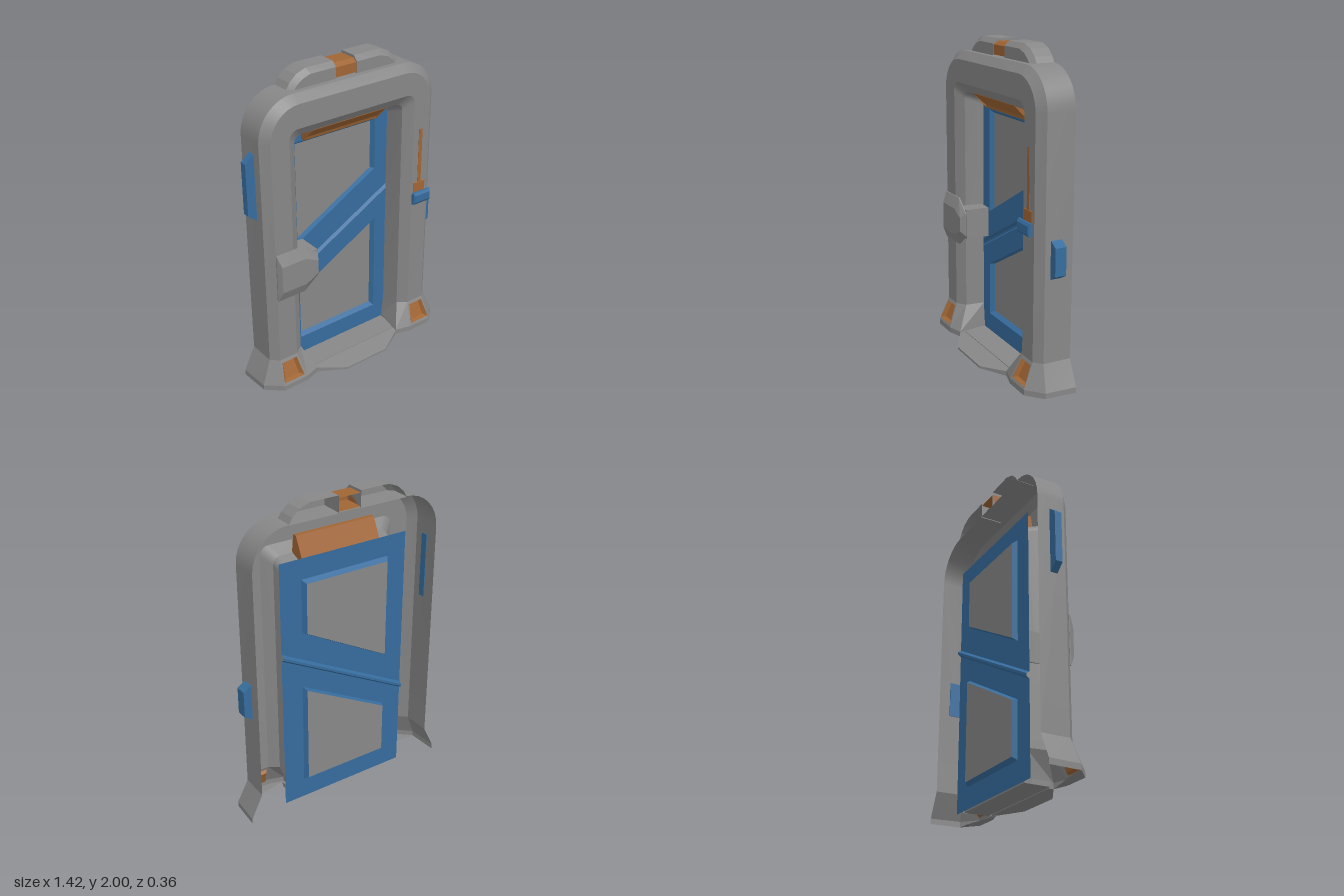
import * as THREE from 'three';
import { toCreasedNormals } from 'three/addons/utils/BufferGeometryUtils.js';

const material = (name, color) => {
  const m = new THREE.MeshStandardMaterial({ color, side: THREE.DoubleSide });
  m.name = name;
  return m;
};

// Skin a list of rings (each a list of [x, y, z]); optional fan caps at start and end.
function loft(rings, { closed = true, startCap = closed, endCap = closed, skip = () => false } = {}) {
  const out = [];
  const n = rings[0].length;
  for (let i = 0; i < rings.length - 1; i++) {
    for (let j = 0; j < (closed ? n : n - 1); j++) {
      if (skip(i, j)) continue;
      const k = (j + 1) % n;
      const a = rings[i][j], b = rings[i][k], c = rings[i + 1][k], d = rings[i + 1][j];
      out.push(...a, ...b, ...d, ...b, ...c, ...d);
    }
  }
  const first = rings[0], last = rings[rings.length - 1];
  for (let j = 1; j < n - 1; j++) {
    if (startCap) out.push(...first[0], ...first[j + 1], ...first[j]);
    if (endCap) out.push(...last[0], ...last[j], ...last[j + 1]);
  }
  const g = new THREE.BufferGeometry();
  g.setAttribute('position', new THREE.Float32BufferAttribute(out, 3));
  return toCreasedNormals(g, 0.25);
}

const ring = (pts, z) => pts.map(([x, y]) => [x, y, z]);

// Scale a polygon about the middle of its bounds.
function scaled(pts, sx, sy) {
  const mid = k => (Math.min(...pts.map(p => p[k])) + Math.max(...pts.map(p => p[k]))) / 2;
  const cx = mid(0), cy = mid(1);
  return pts.map(([x, y]) => [cx + (x - cx) * sx, cy + (y - cy) * sy]);
}

// Counter-clockwise polygon swept through layers of [z, scaleX, scaleY].
const prism = (pts, layers) =>
  loft(layers.map(([z, sx = 1, sy = 1]) => ring(scaled(pts, sx, sy), z)));

const rect = (x0, x1, y0, y1) => [[x0, y0], [x1, y0], [x1, y1], [x0, y1]];

const toShape = pts => new THREE.Shape(pts.map(p => new THREE.Vector2(...p)));

// One arch line of the frame: half width, top, corner radius, depth, foot position.
function archLine([w, top, r, z, footX, footZ]) {
  const half = [[footX, 0, footZ], [footX, 0.035, footZ], [w, 0.19, z]];
  for (let i = 0; i <= 8; i++) {
    const a = (i / 8) * Math.PI / 2;
    half.push([w - r + r * Math.cos(a), top - r + r * Math.sin(a), z]);
  }
  return [...half, ...half.map(([x, y, d]) => [-x, y, d]).reverse()];
}

export function createModel() {
  const grey = material('grey metal', 0x878787);
  const blue = material('blue paint', 0x366c9d);
  const orange = material('orange accent', 0xa06534);
  const model = new THREE.Group();
  const add = (name, geometry, mat) => {
    const mesh = new THREE.Mesh(geometry, mat);
    mesh.name = name;
    model.add(mesh);
    return mesh;
  };

  // Hollow arched frame with flared feet; the foot fronts are left open for the lamps
  const arches = [
    [0.635, 1.9, 0.24, -0.18, 0.71, -0.18],
    [0.635, 1.9, 0.24, 0, 0.7, 0.02],
    [0.585, 1.85, 0.2, 0.045, 0.6, 0.11],
    [0.46, 1.705, 0.06, 0.045, 0.43, 0.11],
    [0.4, 1.645, 0.05, 0, 0.33, 0.08],
    [0.385, 1.6, 0.05, -0.125, 0.37, -0.125],
  ].map(archLine);
  const last = arches[0].length - 1;
  add('frame', loft(arches, {
    closed: false, skip: (i, j) => i === 2 && (j === 1 || j === last - 2),
  }), grey);

  // Foot fronts with recessed lamps, and the soles beneath
  const footZ = y => 0.11 - (y - 0.035) * 0.065 / 0.155;
  const onFoot = (pts, depth) => pts.map(([x, y]) => [x, y, footZ(y) - depth]);
  const face = onFoot([[0.43, 0.035], [0.6, 0.035], [0.585, 0.19], [0.46, 0.19]], 0);
  const rimPts = [[0.447, 0.05], [0.597, 0.05], [0.576, 0.17], [0.468, 0.17]];
  const lensPts = [[0.47, 0.058], [0.574, 0.058], [0.562, 0.155], [0.482, 0.155]];
  const rim = onFoot(rimPts, 0), lens = onFoot(lensPts, 0.025);
  const solePts = [[0.33, -0.08], [0.43, -0.11], [0.6, -0.11], [0.7, -0.02], [0.62, -0.02]];
  for (const side of [1, -1]) {
    const flip = pts => side > 0 ? pts : pts.map(([x, ...rest]) => [-x, ...rest]).reverse();
    add('footFront', loft([flip(face), flip(rim)], { startCap: false, endCap: false }), grey);
    add('footLamp', loft([flip(rim), flip(lens)], { startCap: false }), orange);
    const sole = new THREE.ShapeGeometry(toShape(flip(solePts)));
    sole.rotateX(-Math.PI / 2);
    add('footSole', sole, grey);
  }

  // Top cap in two halves with a clip between them, hollow at the back
  const capBack = [[0.075, 1.895], [0.4, 1.895], [0.375, 1.935], [0.33, 1.975], [0.265, 2], [0.075, 2]];
  const capFront = [[0.075, 1.895], [0.368, 1.895], [0.348, 1.92], [0.31, 1.95], [0.25, 1.97], [0.075, 1.97]];
  for (const side of [1, -1]) {
    const flip = pts => side > 0 ? pts : pts.map(([x, y]) => [-x, y]).reverse();
    add('topCap', loft([ring(flip(capBack), -0.18), ring(flip(capBack), -0.065),
      ring(flip(capFront), -0.035)], { startCap: false }), grey);
  }
  add('topClip', loft([ring(rect(-0.075, 0.075, 1.905, 1.985), -0.178),
    ring(rect(-0.075, 0.075, 1.905, 1.985), -0.07),
    ring(rect(-0.075, 0.075, 1.905, 1.965), -0.04)], { startCap: false }), orange);

  // Slanted lamp under the lintel; profile runs front to back
  const lamp = prism([[-0.005, 1.648], [0.085, 1.57], [0.092, 1.55], [0.118, 1.55], [0.118, 1.6], [0.04, 1.76], [0.01, 1.76]],
    [[-0.27], [0.27]]);
  lamp.rotateY(Math.PI / 2);
  add('lintelLamp', lamp, orange);

  // Pressed-sheet door: two leaves with sunken panels and a slanting groove between
  const W = 0.44, doorZ = -0.13, panelZ = -0.158;
  const seam = (x, d) => 0.83 + 0.54 * x + d;
  const leaves = [
    { name: 'upperDoor',
      outline: [[-W, seam(-W, 0.022)], [W, seam(W, 0.022)], [W, 1.66], [-W, 1.66]],
      opening: [[-0.31, 0.855], [0.295, 1.19], [0.295, 1.53], [-0.31, 1.53]] },
    { name: 'lowerDoor',
      outline: [[-W, 0.005], [W, 0.005], [W, seam(W, -0.022)], [-W, seam(-W, -0.022)]],
      opening: [[-0.305, 0.14], [0.3, 0.14], [0.3, 0.825], [-0.305, 0.495]] },
  ];
  for (const { name, outline, opening } of leaves) {
    const shape = toShape(outline);
    shape.holes.push(toShape(opening));
    const leaf = new THREE.ShapeGeometry(shape);
    leaf.translate(0, 0, doorZ);
    add(name, leaf, blue);
    const inner = scaled(opening, 0.94, 0.94);
    add(name + 'Bevel', loft([ring(opening, doorZ), ring(inner, panelZ)],
      { startCap: false, endCap: false }), blue);
    const panel = new THREE.ShapeGeometry(toShape(inner));
    panel.translate(0, 0, panelZ);
    add(name + 'Panel', panel, grey);
  }
  const groove = [[0.022, doorZ], [0.008, doorZ - 0.02], [-0.008, doorZ - 0.02], [-0.022, doorZ]];
  add('doorGroove', loft(groove.map(([d, z]) => [[W, seam(W, d), z], [-W, seam(-W, d), z]]).reverse(),
    { closed: false }), blue);

  // Threshold: sill under the door and a sloping tread in front
  add('sill', prism(rect(-0.36, 0.36, 0, 0.03), [[-0.12], [0.04]]), grey);
  const treadPts = [[-0.16, 0.178], [0.16, 0.178], [0.33, 0.08], [0.33, 0.05], [-0.33, 0.05], [-0.33, 0.08]];
  add('tread', loft([treadPts.map(([x, z]) => [x, 0, z]),
    treadPts.map(([x, z]) => [x, 0.013 + 0.18 * (0.178 - z), z])]), grey);

  // Latch block on the left column, reaching over the door
  add('latch', prism([[-0.585, 0.635], [-0.39, 0.635], [-0.29, 0.715], [-0.29, 0.87], [-0.39, 0.95], [-0.585, 0.95]],
    [[0.046], [0.054], [0.085, 0.88, 0.56]]), grey);
  add('latchBolt', prism(rect(-0.4, -0.287, 0.695, 0.89), [[-0.11], [0.046]]), grey);

  // Lever in its slot on the right column
  add('leverSlot', prism(rect(0.503, 0.53, 1.08, 1.46), [[0.046], [0.048]]), orange);
  add('leverBase', prism(rect(0.47, 0.565, 1, 1.1), [[0.046], [0.05, 0.92, 0.92]]), orange);
  add('leverNeck', prism(rect(0.495, 0.545, 0.98, 1.02), [[0.047], [0.06]]), blue);
  add('leverGrip', prism(rect(0.45, 0.588, 0.957, 1.038),
    [[0.055, 0.95, 0.8], [0.062], [0.075], [0.086, 0.88, 0.6]]), blue);

  // Side boxes, tapering outwards
  const sideBox = (name, side, z0, z1, y0, y1, reach, taper) => {
    const g = prism(rect(-z1, -z0, y0, y1), [[0.63], [0.637], [reach, 1, taper]]);
    g.rotateY(Math.PI / 2);
    if (side < 0) g.translate(0, 0, -z0 - z1).rotateY(Math.PI);
    add(name, g, blue);
  };
  sideBox('leftSideBox', 1, -0.108, -0.036, 0.705, 0.935, 0.687, 0.74);
  sideBox('rightSideBox', -1, -0.1, -0.055, 1.16, 1.58, 0.693, 0.78);

  return model;
}
